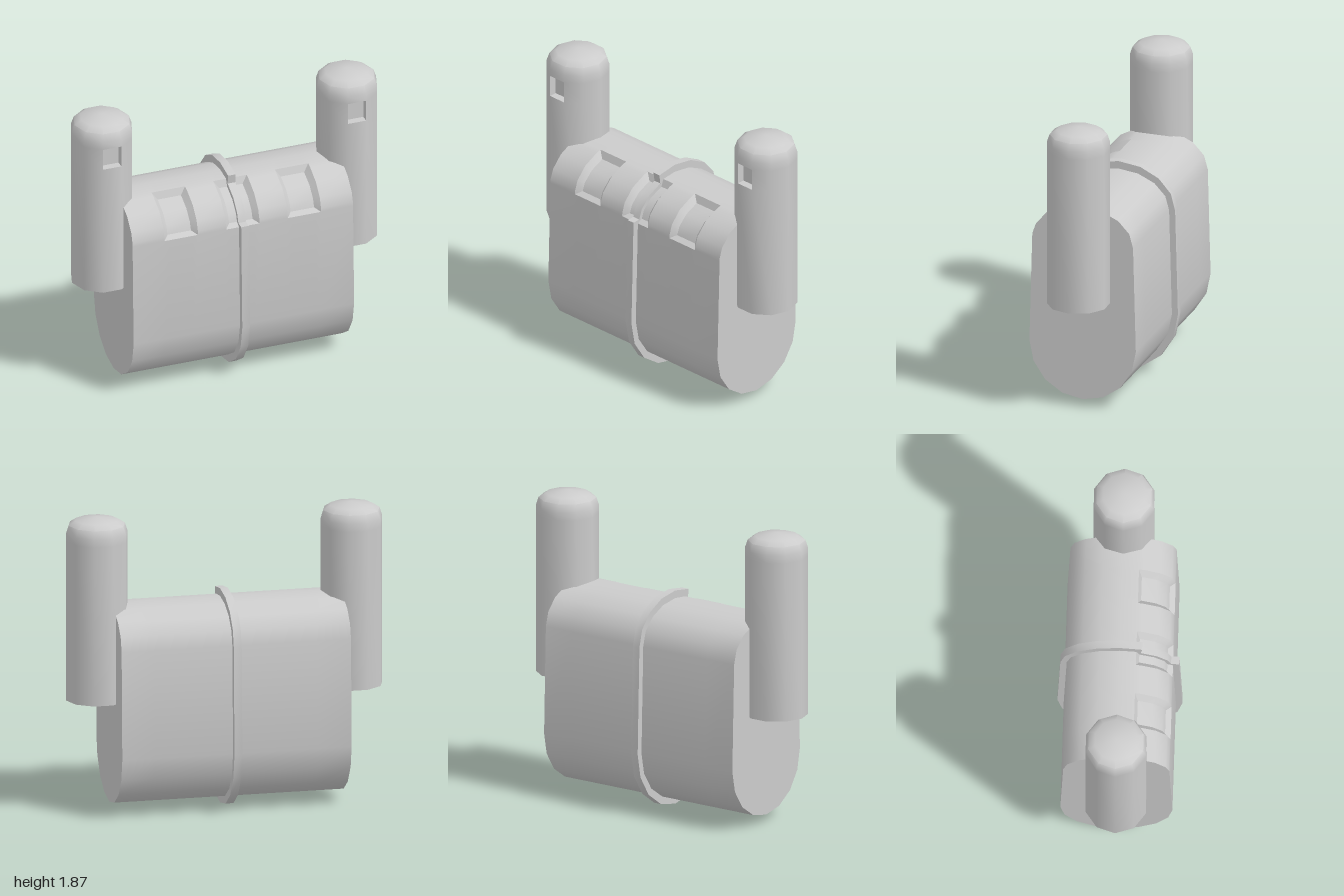
import * as THREE from 'three';
import { toCreasedNormals } from 'three/addons/utils/BufferGeometryUtils.js';

const material = new THREE.MeshStandardMaterial({ color: 0xcccccc });
const TOP_ANGLES = [0, 6, 22, 44, 66, 72, 90, 112.5, 135, 157.5, 180];
const FIRST = 1, LAST = 4; // rows of the top arc forming the pocket floors

// Point [z, y] of the rounded hull section at an angle, pushed outward by off.
function hullPoint(deg, off) {
  const t = THREE.MathUtils.degToRad(deg);
  const upper = deg <= 180;
  const a = (upper ? 0.327 : 0.345) + off;
  const b = (upper ? 0.235 : 0.35) + off * 1.25;
  return [a * Math.cos(t), (upper ? 1.08 : 0.4) + b * Math.sin(t)];
}

// Bottom half of the section, back to front.
const BOTTOM_ANGLES = Array.from({ length: 9 }, (_, i) => 180.001 + i * 22.5);

function mesh(name, geometry) {
  const m = new THREE.Mesh(geometry, material);
  m.name = name;
  return m;
}

// Hull: grid of section rows and x stations, with three bevelled pockets.
function hullGeometry() {
  const rows = [...TOP_ANGLES, ...BOTTOM_ANGLES];
  const stations = [{ x: -0.725 }];
  for (const c of [-0.405, 0, 0.405]) {
    stations.push({ x: c - 0.11 }, { x: c - 0.077, floor: true }, { x: c + 0.077, floor: true }, { x: c + 0.11 });
  }
  stations.push({ x: 0.725 });

  const n = rows.length;
  const position = [], index = [];
  const sunk = (i, k) => Boolean(stations[i].floor) && k >= FIRST && k <= LAST;
  stations.forEach((s, i) => rows.forEach((deg, k) => {
    const [z, y] = hullPoint(deg, sunk(i, k) ? -0.033 : 0);
    position.push(s.x, y, z);
  }));

  for (let i = 0; i < stations.length - 1; i++) {
    for (let k = 0; k < n; k++) {
      const k2 = (k + 1) % n;
      const a = i * n + k, b = a + n, c = (i + 1) * n + k2, d = i * n + k2;
      // The diagonal follows the mitre at pocket corners
      if (sunk(i + 1, k) !== sunk(i, k2)) index.push(a, b, d, b, c, d);
      else index.push(a, b, c, a, c, d);
    }
  }

  // End caps
  const last = (stations.length - 1) * n;
  const centre = position.length / 3;
  position.push(-0.725, 0.7, 0, 0.725, 0.7, 0);
  for (let k = 0; k < n; k++) {
    const k2 = (k + 1) % n;
    index.push(centre, k, k2, centre + 1, last + k2, last + k);
  }

  const g = new THREE.BufferGeometry();
  g.setAttribute('position', new THREE.Float32BufferAttribute(position, 3));
  g.setIndex(index);
  return toCreasedNormals(g, 0.55);
}

// Raised band round the middle, dropping down where it crosses the pocket.
function bandGeometry() {
  const high = 0.039, low = -0.01;
  const points = [];
  const add = (deg, off) => points.push(new THREE.Vector2(...hullPoint(deg, off)));
  add(0, high);
  add(4, high);
  for (const deg of [6, 22, 44, 66]) add(deg, low);
  for (const deg of [68, 90, 112.5, 135, 157.5, 180, ...BOTTOM_ANGLES]) add(deg, high);
  const g = new THREE.ExtrudeGeometry(new THREE.Shape(points), { depth: 0.05, bevelEnabled: false });
  g.translate(0, 0, -0.025).rotateY(-Math.PI / 2);
  return toCreasedNormals(g, 0.55);
}

// Ten-sided post with a domed top and a small opening in the front facet.
function postShell() {
  const profile = [[0, 0.71], [0.195, 0.71], [0.195, 1.58], [0.195, 1.72], [0.195, 1.77],
    [0.178, 1.82], [0.135, 1.848], [0, 1.87]].map(([r, y]) => new THREE.Vector2(r, y));
  const g = new THREE.LatheGeometry(profile, 10, -Math.PI / 10);
  const index = Array.from(g.index.array);
  index.splice(2 * 6, 6); // front facet between the opening's edges
  g.setIndex(index);
  return toCreasedNormals(g, 0.7);
}

// Inside walls and back of the opening: an inward-facing box without its front.
function postRecess() {
  const depth = 0.05, face = 0.195 * Math.cos(Math.PI / 10);
  const g = new THREE.BoxGeometry(0.39 * Math.sin(Math.PI / 10), 0.14, depth);
  const index = Array.from(g.index.array);
  index.splice(24, 6);
  g.setIndex(index.reverse());
  g.translate(0, 1.65, face - depth / 2);
  return toCreasedNormals(g, 0.5);
}

export function createModel() {
  const model = new THREE.Group();
  model.name = 'twinPostHull';
  model.add(mesh('hull', hullGeometry()), mesh('middleBand', bandGeometry()));

  const shell = postShell(), recess = postRecess();
  for (const side of [1, -1]) {
    const post = new THREE.Group();
    post.name = side > 0 ? 'leftPost' : 'rightPost';
    post.add(mesh('postShell', shell), mesh('postRecess', recess));
    post.position.x = side * 0.805;
    model.add(post);
  }
  return model;
}
